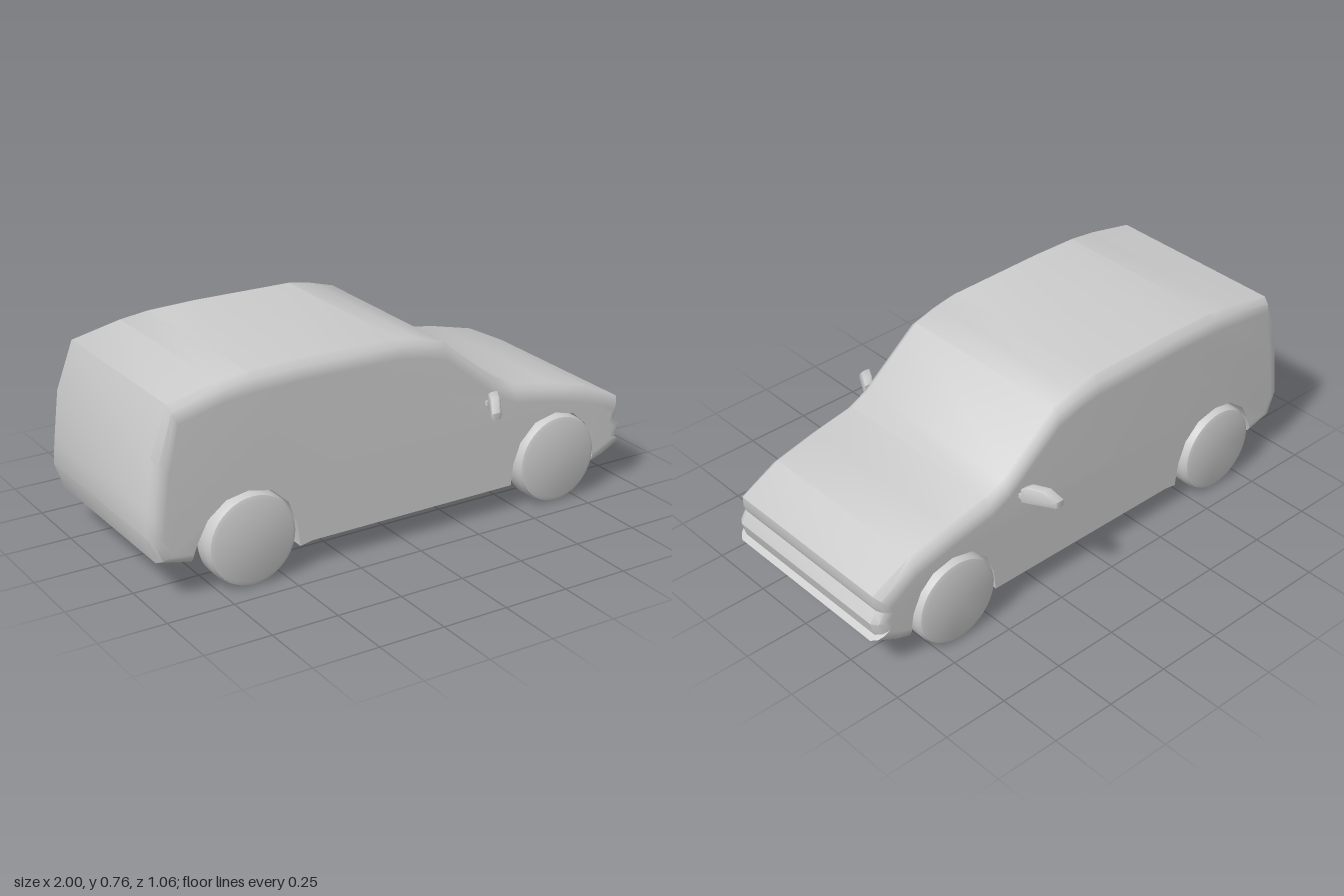
import * as THREE from 'three';
import { toCreasedNormals } from 'three/addons/utils/BufferGeometryUtils.js';

const clamp = THREE.MathUtils.clamp;
const material = new THREE.MeshStandardMaterial({ color: 0xcccccc, side: THREE.DoubleSide });

function mesh(name, geometry, crease = 0.7) {
  const m = new THREE.Mesh(toCreasedNormals(geometry, crease), material);
  m.name = name;
  return m;
}

// Outer skin of the car, from the rear bumper over the roof to the front bumper
const skin = [
  [-0.842, 0.122], [-0.965, 0.15], [-1, 0.25], [-0.992, 0.34], [-0.97, 0.525], [-0.905, 0.70],
  [-0.715, 0.74], [-0.605, 0.753], [-0.42, 0.758], [-0.02, 0.754], [0.07, 0.738], [0.17, 0.71],
  [0.40, 0.525], [0.48, 0.487], [0.65, 0.455], [0.815, 0.415], [0.975, 0.335],
  [0.975, 0.295], [0.965, 0.27], [0.99, 0.225], [0.975, 0.17], [0.995, 0.155],
  [0.91, 0.11], [0.845, 0.088],
];
// Wheel arches and sill, from front to rear
const underside = [
  [0.85, 0.14], [0.835, 0.20], [0.80, 0.275], [0.745, 0.325], [0.66, 0.345], [0.57, 0.325],
  [0.505, 0.26], [0.475, 0.18], [0.467, 0.10],
  [-0.38, 0.097], [-0.43, 0.088], [-0.442, 0.18], [-0.475, 0.265], [-0.54, 0.325], [-0.63, 0.345],
  [-0.715, 0.33], [-0.785, 0.275], [-0.825, 0.20],
];

// Moves a skin point inward, for the rounded edge beside the flanks
function inset([x, y], k) {
  const dx = 0.035 * clamp((Math.abs(x) - 0.85) / 0.12, 0, 1) * Math.sign(x);
  const dy = y < 0.24 ? (0.24 - y) * 0.25 : -Math.min(0.045, (y - 0.24) * 0.4);
  return [x - k * dx, y + k * dy];
}

function bodyGeometry() {
  const half = [[0.395, 1.4], [0.394, 1], [0.384, 0.45], [0.36, 0]];
  const layers = [...half, ...half.map(([z, k]) => [-z, k]).reverse()];
  const rings = layers.map(([, k]) => [...skin.map((p) => inset(p, k)), ...underside].reverse());
  const n = rings[0].length;
  const position = [];
  const index = [];
  rings.forEach((ring, r) => ring.forEach(([x, y]) => position.push(x, y, layers[r][0])));

  // Skin between neighbouring rings
  for (let r = 0; r < rings.length - 1; r++) {
    for (let i = 0; i < n; i++) {
      const j = (i + 1) % n;
      const a = r * n + i, b = r * n + j, c = a + n, d = b + n;
      index.push(a, c, b, b, c, d);
    }
  }
  // Flat flanks
  const last = (rings.length - 1) * n;
  const contour = rings[0].map(([x, y]) => new THREE.Vector2(x, y));
  for (const [a, b, c] of THREE.ShapeUtils.triangulateShape(contour, [])) {
    index.push(a, b, c, last + a, last + c, last + b);
  }
  const g = new THREE.BufferGeometry();
  g.setAttribute('position', new THREE.Float32BufferAttribute(position, 3));
  g.setIndex(index);
  return g;
}

// Plain disc wheel with rounded shoulders
function wheelGeometry() {
  const profile = [
    [0, -0.055], [0.148, -0.055], [0.163, -0.049], [0.17, -0.032],
    [0.17, 0.032], [0.163, 0.049], [0.148, 0.055], [0, 0.055],
  ].map(([r, y]) => new THREE.Vector2(r, y));
  return new THREE.LatheGeometry(profile, 40).rotateX(Math.PI / 2);
}

// Door mirror: swept-back housing on a short stalk; side is +1 or -1 in z
function mirror(side) {
  const group = new THREE.Group();
  group.name = side > 0 ? 'rightMirror' : 'leftMirror';

  const outline = [[0.425, 0.448], [0.424, 0.492], [0.436, 0.5], [0.485, 0.498], [0.522, 0.465], [0.522, 0.45]];
  const shape = new THREE.Shape(outline.map(([z, y]) => new THREE.Vector2(side * z, y)));
  const housing = new THREE.ExtrudeGeometry(shape, {
    depth: 0.024, bevelThickness: 0.009, bevelSize: 0.007, bevelSegments: 2,
  });
  housing.translate(0, 0, -0.012).rotateY(-Math.PI / 2);
  const p = housing.attributes.position;
  for (let i = 0; i < p.count; i++) {
    p.setX(i, p.getX(i) + 0.322 - (Math.abs(p.getZ(i)) - 0.475) * 0.55);
  }
  group.add(mesh('mirrorHousing', housing));

  const stalk = new THREE.BoxGeometry(0.022, 0.016, 0.06);
  stalk.translate(0.35, 0.452, side * 0.411);
  group.add(mesh('mirrorStalk', stalk));
  return group;
}

export function createModel() {
  const car = new THREE.Group();
  car.name = 'car';
  car.add(mesh('body', bodyGeometry()));

  for (const side of [1, -1]) {
    for (const [name, x] of [['frontWheel', 0.66], ['rearWheel', -0.627]]) {
      const wheel = mesh(name, wheelGeometry());
      wheel.position.set(x, 0.17, side * 0.37);
      car.add(wheel);
    }
    car.add(mirror(side));
  }
  return car;
}
